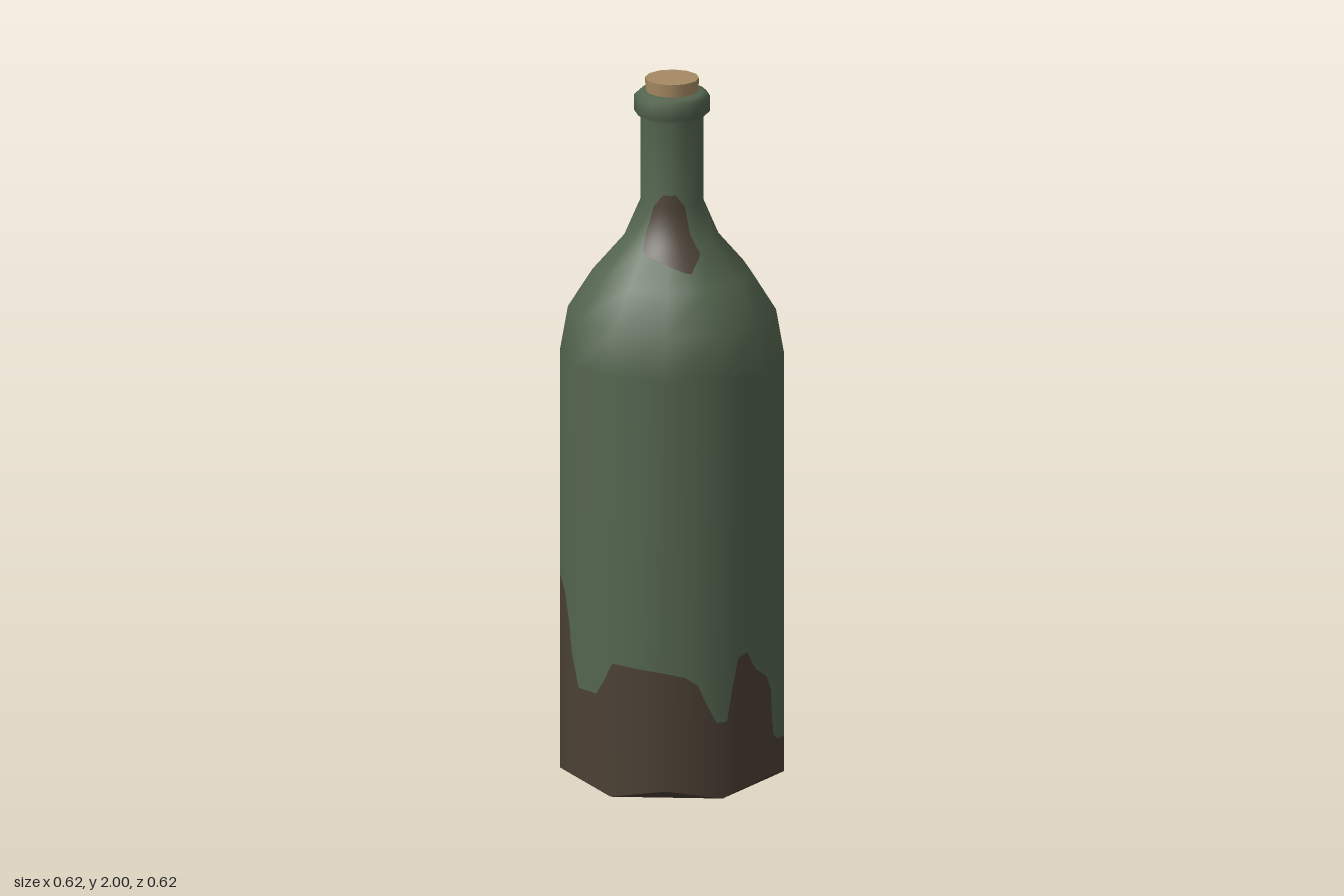
import * as THREE from 'three';

const glass = new THREE.MeshStandardMaterial({ name: 'greenGlass', color: 0x54654f });
const mud = new THREE.MeshStandardMaterial({ name: 'driedMud', color: 0x4b4034 });
const corkBrown = new THREE.MeshStandardMaterial({ name: 'corkBrown', color: 0xa58a63 });

const R = 0.31, FOOT = 0.03, D = Math.PI / 180;

// Bottle outline: [y, radius]
const profile = [
  [0, R], [1.21, R], [1.335, 0.288], [1.443, 0.22], [1.545, 0.132], [1.65, 0.087],
  [1.89, 0.087], [1.905, 0.105], [1.95, 0.105], [1.962, 0.091], [1.964, 0.066],
];

// Height of the mud line around the body: [degrees from the front towards +x, y]
const mudLine = [
  [0, 0.37], [10, 0.355], [17, 0.33], [22, 0.27], [27, 0.22], [33, 0.22], [37, 0.32], [41, 0.395],
  [47, 0.405], [53, 0.35], [62, 0.315], [68, 0.27], [70, 0.18], [73, 0.13], [80, 0.11], [95, 0.1],
  [125, 0.1], [150, 0.115], [165, 0.135], [180, 0.15], [190, 0.15], [200, 0.2], [208, 0.22],
  [216, 0.195], [225, 0.22], [238, 0.2], [245, 0.165], [252, 0.175], [255, 0.25], [259, 0.35],
  [262, 0.52], [270, 0.56], [282, 0.53], [293, 0.46], [300, 0.38], [305, 0.285], [319, 0.285],
  [325, 0.33], [331, 0.385], [347, 0.375], [360, 0.37],
];

// Neck stains: [y, left degrees, right degrees]
const stains = {
  frontStain: [[1.485, 17, 21], [1.505, 0, 26], [1.53, -31, 36], [1.58, -34, 28], [1.65, -31, 27], [1.685, -13, 10]],
  backStain: [[1.53, 203, 213], [1.56, 185, 228], [1.6, 186, 226], [1.64, 192, 220], [1.68, 203, 210]],
};

// Linear lookup in a table sorted by its first column
function sample(table, x, col = 1) {
  let i = 1;
  while (i < table.length - 1 && table[i][0] < x) i++;
  const a = table[i - 1], b = table[i];
  const t = THREE.MathUtils.clamp((x - a[0]) / (b[0] - a[0]), 0, 1);
  return a[col] + (b[col] - a[col]) * t;
}

// Smooth outline normals, weighted by segment length: [y, radial, vertical]
const normals = profile.map(([y], i) => {
  const a = profile[Math.max(i - 1, 0)], b = profile[Math.min(i + 1, profile.length - 1)];
  const n = new THREE.Vector2(b[0] - a[0], a[1] - b[1]).normalize();
  return [y, n.x, n.y];
});

// Point and normal on the twelve-sided bottle
function onBottle(deg, y, lift = 0) {
  const a = ((deg % 30) + 30) % 30 - 15;
  const r = sample(profile, y) * Math.cos(15 * D) / Math.cos(a * D) + lift;
  const s = Math.sin(deg * D), c = Math.cos(deg * D);
  const n = new THREE.Vector3(s * sample(normals, y), sample(normals, y, 2), c * sample(normals, y)).normalize();
  return { p: [s * r, y, c * r], n: n.toArray() };
}

// Skin of rows by columns; at(row, col) gives a point and a normal
function skin(rows, cols, at) {
  const pos = [], nor = [], idx = [];
  for (let r = 0; r < rows; r++) for (let c = 0; c < cols; c++) {
    const v = at(r, c);
    pos.push(...v.p);
    nor.push(...v.n);
    if (r && c) {
      const e = r * cols + c, d = e - 1, b = e - cols, a = b - 1;
      idx.push(a, b, e, a, e, d);
    }
  }
  const g = new THREE.BufferGeometry();
  g.setAttribute('position', new THREE.Float32BufferAttribute(pos, 3));
  g.setAttribute('normal', new THREE.Float32BufferAttribute(nor, 3));
  g.setIndex(idx);
  return g;
}

// Lower edge of the wall: every second corner is raised
function footY(deg) {
  const a = ((deg % 30) + 30) % 30;
  const t = 0.5 + Math.tan((a - 15) * D) / (2 * Math.tan(15 * D));
  return FOOT * (Math.floor(deg / 30) % 2 === 0 ? 1 - t : t);
}

export function createModel() {
  const group = new THREE.Group();
  const add = (name, geometry, material) => {
    const mesh = new THREE.Mesh(geometry, material);
    mesh.name = name;
    group.add(mesh);
    return mesh;
  };

  // Columns follow the mud line and always include the twelve corners
  const corners = Array.from({ length: 13 }, (_, i) => i * 30);
  const cols = [...new Set([...mudLine.map((m) => m[0]), ...corners])].sort((a, b) => a - b);

  // Mud-caked lower wall and clean glass above it
  add('muddyBase', skin(2, cols.length, (r, c) =>
    onBottle(cols[c], r ? sample(mudLine, cols[c]) : footY(cols[c]))), mud);
  add('bodyWall', skin(2, cols.length, (r, c) =>
    onBottle(cols[c], r ? profile[1][0] : sample(mudLine, cols[c]))), glass);

  // Shoulder, neck and lip
  const upper = profile.slice(1);
  add('shoulderNeckAndLip', skin(upper.length, 13, (r, c) => onBottle(corners[c], upper[r][0])), glass);

  // Chipped foot corners
  const chips = [];
  for (let deg = 0; deg < 360; deg += 60) {
    chips.push(...onBottle(deg - 30, 0).p, ...onBottle(deg + 30, 0).p, ...onBottle(deg, FOOT).p);
  }
  const chipGeo = new THREE.BufferGeometry();
  chipGeo.setAttribute('position', new THREE.Float32BufferAttribute(chips, 3));
  chipGeo.computeVertexNormals();
  add('footChamfers', chipGeo, mud);

  // Six-sided underside
  add('underside', new THREE.CircleGeometry(R, 6).rotateX(Math.PI / 2), mud);

  // Mud stains hugging the neck
  for (const [name, table] of Object.entries(stains)) {
    const y0 = table[0][0], y1 = table[table.length - 1][0];
    add(name, skin(25, 17, (r, c) => {
      const y = y0 + (y1 - y0) * r / 24;
      return onBottle(THREE.MathUtils.lerp(sample(table, y, 1), sample(table, y, 2), c / 16), y, 0.003);
    }), mud);
  }

  // Cork stopper
  add('cork', new THREE.CylinderGeometry(0.075, 0.069, 0.1, 12), corkBrown).position.y = 1.95;

  return group;
}
